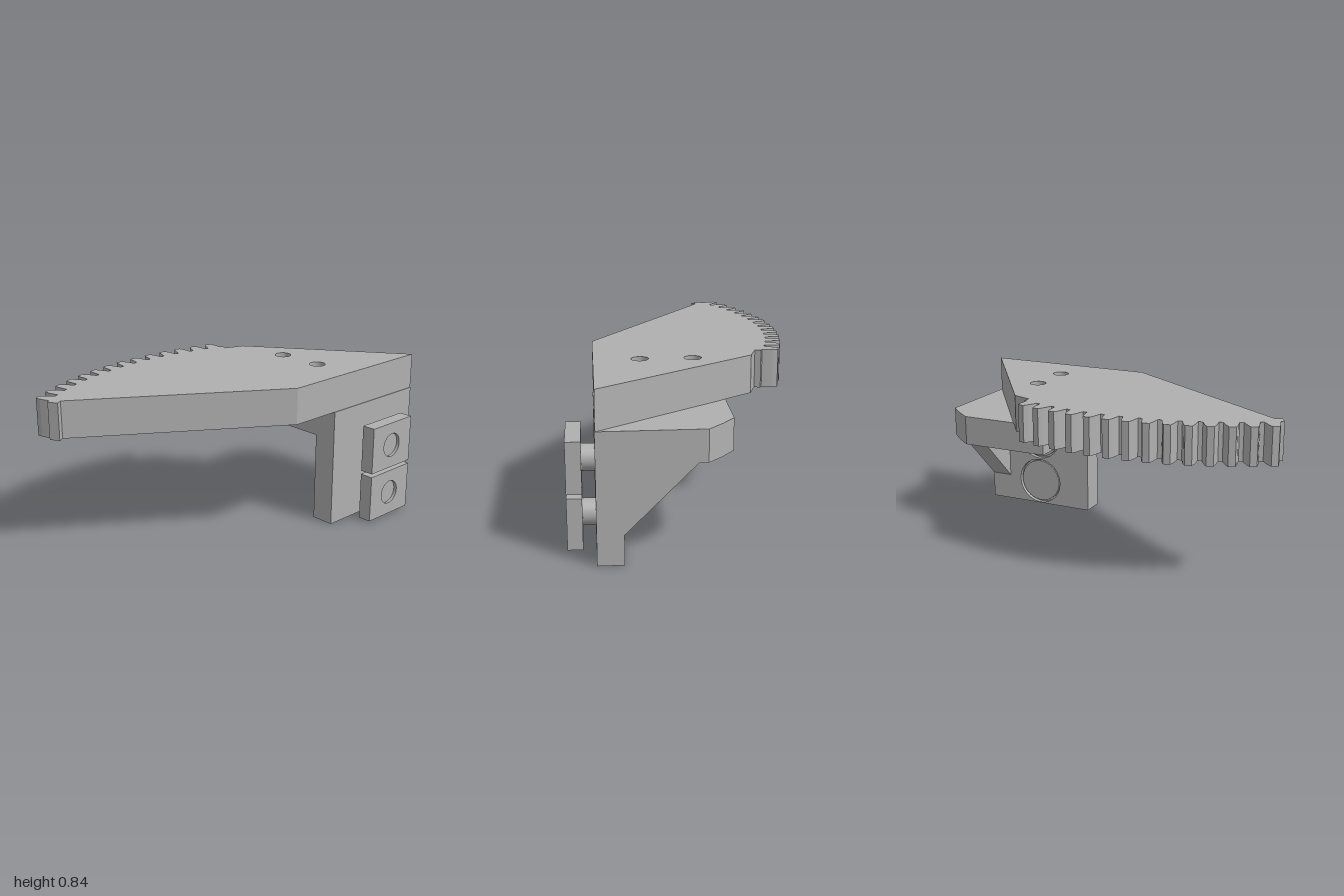
import * as THREE from 'three';

export function createModel() {
  const model = new THREE.Group();
  model.name = 'gearSectorBracket';
  const grey = new THREE.MeshStandardMaterial({ color: 0xb0b0b0 });
  grey.name = 'plain grey';

  const add = (name, geometry, x = 0, y = 0, z = 0) => {
    const mesh = new THREE.Mesh(geometry, grey);
    mesh.name = name;
    mesh.position.set(x, y, z);
    model.add(mesh);
    return mesh;
  };

  // Extrudes an outline of [u, v] points with round holes [u, v, radius]
  const extrude = (points, depth, holes = []) => {
    const shape = new THREE.Shape(points.map(([u, v]) => new THREE.Vector2(u, v)));
    for (const [u, v, r] of holes) {
      shape.holes.push(new THREE.Path().absarc(u, v, r, 0, Math.PI * 2, true));
    }
    return new THREE.ExtrudeGeometry(shape, { depth, bevelEnabled: false, curveSegments: 24 });
  };
  // Flat plate: outline in x and -z, thickness upward
  const slab = (points, depth, holes) => extrude(points, depth, holes).rotateX(-Math.PI / 2);
  const rect = (x0, x1, y0, y1) => [[x0, y0], [x1, y0], [x1, y1], [x0, y1]];
  // Cylinder lying along z, centred on the origin
  const rod = (r, length) => new THREE.CylinderGeometry(r, r, length, 40).rotateX(Math.PI / 2);

  // Toothed sector plate
  const arc = (r, a) => [-0.15 + r * Math.sin(a), -1.02 + r * Math.cos(a)];
  const pitch = 0.0638;
  const outline = [[0.06, -0.43], [1, -0.43], [0.43, 0.355], [0.325, 0.39], [0.335, 0.42]];
  for (let k = 4.5; k >= -8.5; k--) {
    for (const [r, half] of [[1.522, 0.39], [1.545, 0.34], [1.575, 0.27], [1.6, 0.17],
      [1.6, -0.17], [1.575, -0.27], [1.545, -0.34], [1.522, -0.39]]) {
      outline.push(arc(r, (k + half) * pitch));
    }
  }
  outline.push([-0.985, 0.25], [-0.96, 0.2], [-0.93, 0.22]);
  const boltSpots = [[0.46, 0.06], [0.46, -0.2]];
  const boltHoles = (r) => boltSpots.map(([x, y]) => [x, y, r]);
  add('gearSector', slab(outline, 0.195, boltHoles(0.043)), 0, 0.65, 0);

  // Shelf under the sector, with shallow counterbores below
  const shelf = [[0.35, -0.305], [1, -0.305], [1, 0.08], [0.925, 0.15], [0.84, 0.215], [0.35, 0.215]];
  add('shelf', slab(shelf, 0.14, boltHoles(0.043)), 0, 0.51, 0);
  add('shelfUnderside', slab(shelf, 0.02, boltHoles(0.1)), 0, 0.49, 0);
  for (const [x, y] of boltSpots) {
    add('shelfBoltHead', new THREE.CylinderGeometry(0.092, 0.092, 0.014, 40), x, 0.504, -y);
  }

  // Upright plate, recessed at the back for two round heads
  const heights = [0.14, 0.42];
  const blockX = 0.673;
  add('uprightPlate', extrude(rect(0.35, 1, 0, 0.65), 0.105), 0, 0, 0.328);
  add('uprightBack', extrude(rect(0.35, 1, 0, 0.65), 0.023,
    heights.map((y) => [blockX, y, 0.135])), 0, 0, 0.305);

  // Side gusset joining upright and shelf
  const gusset = extrude([[-0.305, 0.15], [0.035, 0.49], [-0.305, 0.49]], 0.12);
  add('gusset', gusset.rotateY(Math.PI / 2), 0.88, 0, 0);

  // Two clamp blocks on shafts in front, each with its head behind
  for (const y of heights) {
    add('backHead', rod(0.125, 0.016), blockX, y, 0.32);
    add('shaft', rod(0.066, 0.125), blockX, y, 0.4925);
    add('clampBlock', extrude(rect(-0.16, 0.16, -0.13, 0.13), 0.075, [[0, 0, 0.0665]]),
      blockX + 0.002, y, 0.496);
  }

  return model;
}
